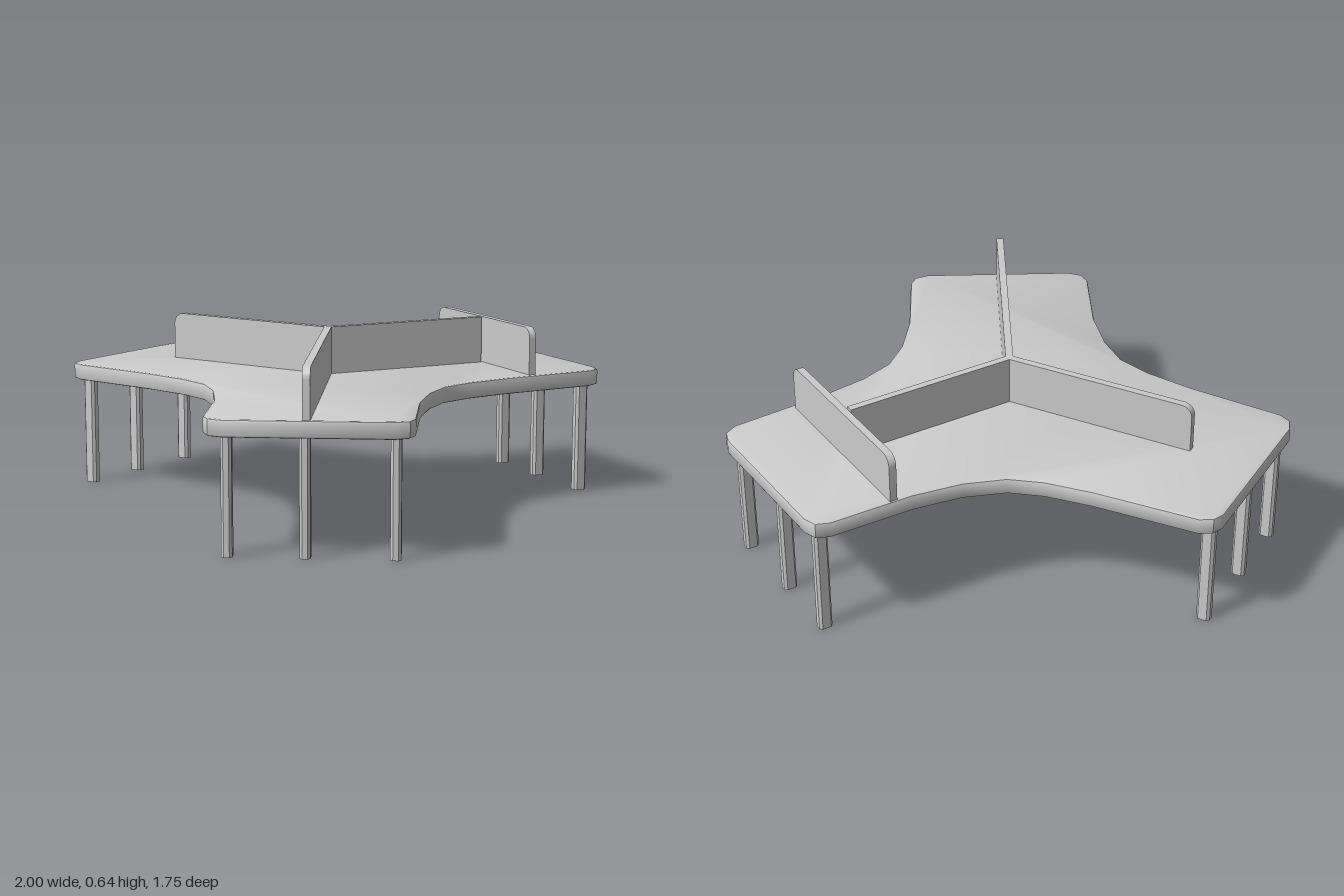
import * as THREE from 'three';
import { toCreasedNormals } from 'three/addons/utils/BufferGeometryUtils.js';

const TOP = 0.47, UNDER = 0.41, SCREEN_TOP = 0.645, THICK = 0.027;
const material = new THREE.MeshStandardMaterial({ color: 0xcccccc });

function add(group, name, geometry) {
  const mesh = new THREE.Mesh(geometry, material);
  mesh.name = name;
  group.add(mesh);
  return mesh;
}

// Three-armed desktop outline as [x, z], going round from the back left corner
const outline = [
  [-0.6, -0.877], [-0.265, -0.706], [-0.105, -0.64], [0.02, -0.614], [0.17, -0.636], [0.34, -0.7],
  [0.61, -0.848], [0.66, -0.855], [0.7, -0.82], [0.987, -0.33], [0.997, -0.28], [0.967, -0.232],
  [0.66, -0.033], [0.52, 0.075], [0.43, 0.176], [0.382, 0.305], [0.353, 0.49],
  [0.348, 0.805], [0.33, 0.85], [0.28, 0.872], [-0.286, 0.872], [-0.335, 0.85], [-0.356, 0.803],
  [-0.358, 0.49], [-0.388, 0.305], [-0.436, 0.176], [-0.527, 0.075], [-0.67, -0.037],
  [-0.97, -0.235], [-0.998, -0.28], [-0.99, -0.33], [-0.687, -0.85], [-0.65, -0.878],
];

function desktopGeometry() {
  const bevel = 0.008;
  const shape = new THREE.Shape(outline.map(([x, z]) => new THREE.Vector2(x, -z)));
  const geometry = new THREE.ExtrudeGeometry(shape, {
    depth: TOP - UNDER - 2 * bevel, bevelSize: bevel, bevelThickness: bevel, bevelOffset: -bevel, bevelSegments: 2,
  });
  geometry.rotateX(-Math.PI / 2).translate(0, UNDER + bevel, 0);
  return toCreasedNormals(geometry, 0.6);
}

// Upright screen between two [x, z] points; r0 and r1 round its upper corners
function screenGeometry([x0, z0], [x1, z1], r0, r1) {
  const length = Math.hypot(x1 - x0, z1 - z0), height = SCREEN_TOP - TOP;
  const shape = new THREE.Shape();
  shape.moveTo(0, 0);
  shape.lineTo(length, 0);
  shape.lineTo(length, height - r1);
  if (r1) shape.absarc(length - r1, height - r1, r1, 0, Math.PI / 2);
  else shape.lineTo(length, height);
  shape.lineTo(r0, height);
  if (r0) shape.absarc(r0, height - r0, r0, Math.PI / 2, Math.PI);
  shape.lineTo(0, 0);
  const geometry = new THREE.ExtrudeGeometry(shape, { depth: THICK, bevelEnabled: false, curveSegments: 5 });
  geometry.translate(0, 0, -THICK / 2).rotateY(Math.atan2(z0 - z1, x1 - x0)).translate(x0, TOP, z0);
  return toCreasedNormals(geometry, 0.6);
}

// Leg with chamfered corners, its foot at the origin
function legGeometry() {
  const w = 0.0185, d = 0.025, c = 0.009;
  const corners = [
    [w, d - c], [w - c, d], [c - w, d], [-w, d - c], [-w, c - d], [c - w, -d], [w - c, -d], [w, c - d],
  ];
  const shape = new THREE.Shape(corners.map(([x, y]) => new THREE.Vector2(x, y)));
  return new THREE.ExtrudeGeometry(shape, { depth: UNDER + 0.005, bevelEnabled: false }).rotateX(-Math.PI / 2);
}

export function createModel() {
  const model = new THREE.Group();
  model.name = 'threeSeatDesk';
  add(model, 'desktop', desktopGeometry());

  // Three screens meeting at a small triangular hub
  const screens = new THREE.Group();
  screens.name = 'screens';
  model.add(screens);
  const hub = [-0.008, -0.095], inset = THICK / (2 * Math.sqrt(3));
  const arms = [
    ['frontScreen', 90, 0.962, 0.04],
    ['leftArmScreen', 210, 0.713, 0.04],
    ['rightArmScreen', 330, 0.648, 0],
  ];
  for (const [name, degrees, length, round] of arms) {
    const a = THREE.MathUtils.degToRad(degrees);
    const at = (s) => [hub[0] + s * Math.cos(a), hub[1] + s * Math.sin(a)];
    add(screens, name, screenGeometry(at(inset), at(length), 0, round));
  }
  const height = SCREEN_TOP - TOP;
  const hubMesh = add(screens, 'screenHub',
    new THREE.CylinderGeometry(2 * inset, 2 * inset, height, 3).rotateY(Math.PI));
  hubMesh.position.set(hub[0], TOP + height / 2, hub[1]);

  // Cross screen on one arm
  add(screens, 'crossScreen', screenGeometry([0.403, -0.728], [0.748, -0.118], 0.04, 0.04));

  // Three legs under the end of each arm: [x, z], turned to face outwards
  const legSets = [
    ['frontLeg', 0, [[-0.275, 0.822], [-0.015, 0.822], [0.285, 0.822]]],
    ['rearLeg', Math.PI / 3, [[-0.94, -0.305], [-0.806, -0.538], [-0.652, -0.79]]],
    ['rearLeg', -Math.PI / 3, [[0.936, -0.303], [0.785, -0.558], [0.653, -0.787]]],
  ];
  const leg = legGeometry();
  for (const [name, turn, spots] of legSets) {
    for (const [x, z] of spots) {
      const mesh = add(model, name, leg);
      mesh.position.set(x, 0, z);
      mesh.rotation.y = turn;
    }
  }
  return model;
}
